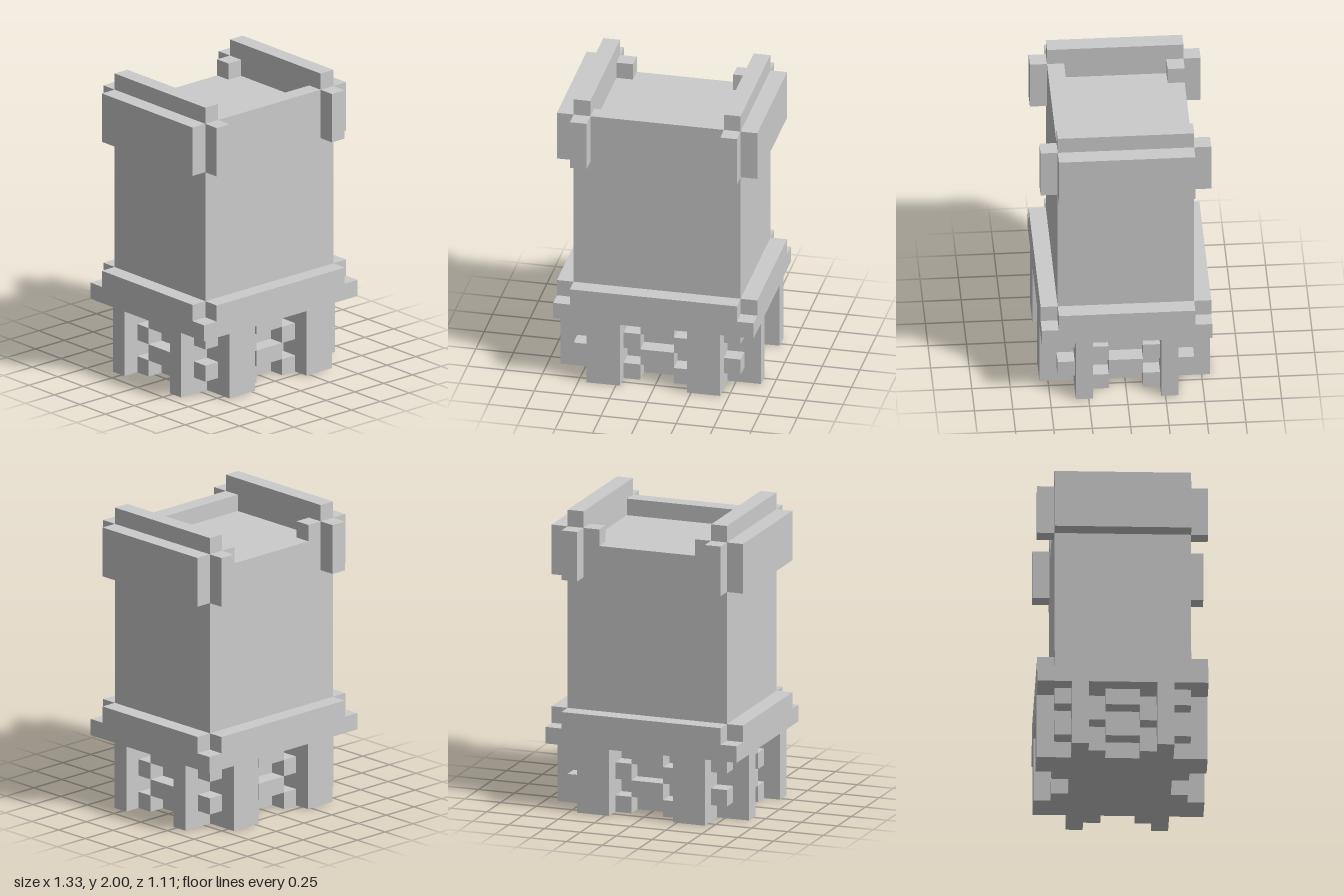
import * as THREE from 'three';

const U = 1 / 9; // one block

export function createModel() {
  const model = new THREE.Group();
  const material = new THREE.MeshStandardMaterial({ color: 0xcccccc, flatShading: true });

  // Box given by its lower and upper corners, in blocks
  function box(name, [x0, y0, z0], [x1, y1, z1]) {
    const mesh = new THREE.Mesh(
      new THREE.BoxGeometry((x1 - x0) * U, (y1 - y0) * U, (z1 - z0) * U), material);
    mesh.position.set((x0 + x1) / 2 * U, (y0 + y1) / 2 * U, (z0 + z1) / 2 * U);
    mesh.name = name;
    model.add(mesh);
  }
  // Same box, reflected to the chosen side in x and z
  function mirrored(name, sx, sz, [x0, y0, z0], [x1, y1, z1]) {
    const xs = [x0 * sx, x1 * sx].sort((a, b) => a - b);
    const zs = [z0 * sz, z1 * sz].sort((a, b) => a - b);
    box(name, [xs[0], y0, zs[0]], [xs[1], y1, zs[1]]);
  }

  // Base core, skirt slab and tall body
  box('baseCore', [-4, 0, -3], [4, 4, 3]);
  box('skirtSlab', [-6, 4, -5], [6, 5, 5]);
  box('body', [-5, 5, -4], [5, 16, 4]);

  // Raised front lip around the recessed top
  box('frontLip', [-4, 16, 3], [4, 17, 4]);

  for (const s of [-1, 1]) {
    // Upper skirt bars
    mirrored('skirtBar', 1, s, [-5, 5, 4], [5, 6, 5]);
    mirrored('skirtSideBar', s, 1, [5, 5, -4], [6, 6, 4]);

    // Side walls, their outer panels and the rear corner blocks of the top
    mirrored('sideWall', s, 1, [4, 16, -4], [5, 18, 4]);
    mirrored('sidePanel', s, 1, [5, 14, -4], [6, 17, 4]);
    mirrored('rearCornerBlock', s, 1, [3, 16, -4], [4, 17, -3]);

    // Lattice bars between the legs
    for (const y of [1, 3]) {
      mirrored('latticeBar', 1, s, [-1, y, 3], [1, y + 1, 4]);
      mirrored('sideLatticeBar', s, 1, [4, y, -1], [5, y + 1, 1]);
    }

    for (const t of [-1, 1]) {
      // Legs and upper corner posts
      mirrored('leg', s, t, [2, 0, 3], [4, 4, 5]);
      mirrored('sideLeg', s, t, [4, 0, 2], [6, 4, 3]);
      mirrored('cornerPost', s, t, [4, 14, 4], [5, 17, 5]);

      // Lattice blocks and corner studs
      for (const y of [0, 2]) {
        mirrored('latticeBlock', s, t, [1, y, 3], [2, y + 1, 4]);
        mirrored('sideLatticeBlock', s, t, [4, y, 1], [5, y + 1, 2]);
        mirrored('cornerStud', s, t, [4, y + 1, 3], [5, y + 2, 4]);
      }
    }
  }
  return model;
}
